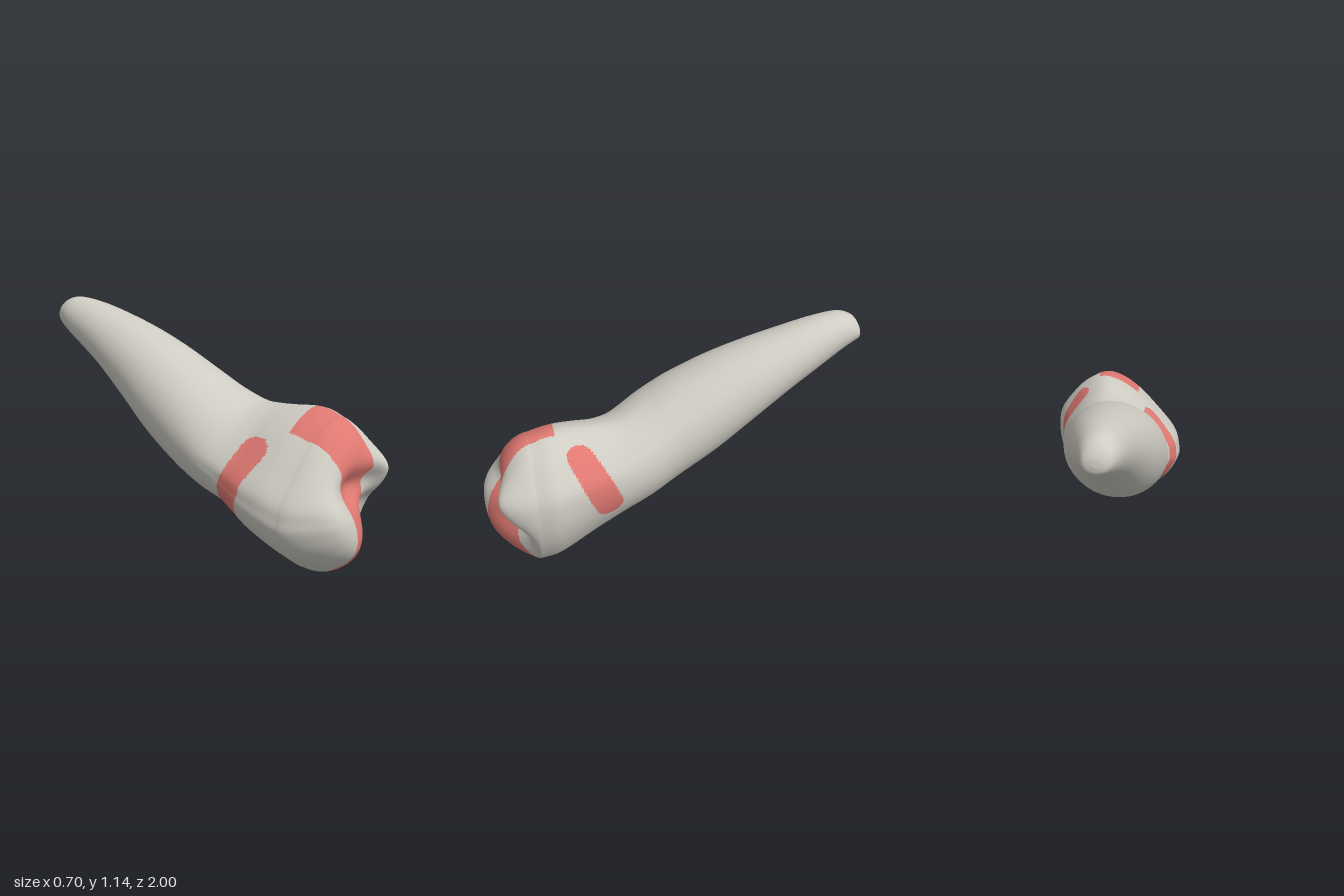
import * as THREE from 'three';

const AROUND = 260, ALONG = 150, CAP = 80, RIM = 0.75;

// Root tip to crown rim: [z, xMin, xMax, yMin, yMax]
const STATIONS = [
  [-1.0, -0.13, -0.13, 1.025, 1.025],
  [-0.99, -0.18, -0.08, 0.99, 1.07],
  [-0.955, -0.212, -0.058, 0.968, 1.115],
  [-0.88, -0.235, -0.03, 0.925, 1.14],
  [-0.75, -0.25, 0.015, 0.85, 1.13],
  [-0.6, -0.267, 0.06, 0.76, 1.1],
  [-0.4, -0.295, 0.11, 0.62, 1.05],
  [-0.2, -0.322, 0.15, 0.475, 0.985],
  [0.0, -0.335, 0.185, 0.36, 0.9],
  [0.15, -0.33, 0.225, 0.285, 0.825],
  [0.3, -0.315, 0.257, 0.22, 0.772],
  [0.4, -0.325, 0.275, 0.16, 0.768],
  [0.5, -0.343, 0.297, 0.1, 0.778],
  [0.6, -0.348, 0.33, 0.05, 0.79],
  [0.67, -0.346, 0.345, 0.022, 0.788],
  [RIM, -0.335, 0.332, 0.0, 0.768],
];

// Crown outline, scaled to -1..1, counter-clockwise from the left side
const OUTLINE = new THREE.CatmullRomCurve3([
  [1, 0.16], [0.96, 0.4], [0.81, 0.62], [0.58, 0.85], [0.29, 0.99], [0, 0.94], [-0.33, 0.74],
  [-0.7, 0.39], [-0.94, 0.12], [-1, -0.07], [-1, -0.24], [-0.85, -0.5], [-0.59, -0.72],
  [-0.32, -0.87], [-0.12, -0.96], [0.08, -1], [0.27, -0.95], [0.48, -0.84], [0.69, -0.68], [0.87, -0.4], [0.97, -0.12],
].map(([x, y]) => new THREE.Vector3(x, y, 0)), true, 'catmullrom', 0.5);

// Cusps and pits of the chewing surface: [x, y, height, spreadX, spreadY]
const BUMPS = [
  [-0.08, 0.18, 0.085, 0.13, 0.13],
  [-0.17, 0.38, 0.055, 0.09, 0.11],
  [0.29, 0.53, 0.15, 0.08, 0.1],
  [0.03, 0.46, -0.065, 0.1, 0.055],
  [0.19, 0.33, -0.075, 0.07, 0.06],
  [0.2, 0.47, -0.055, 0.05, 0.05],
  [0.25, 0.19, -0.1, 0.08, 0.1],
];
const cuspHeight = (x, y) => Math.max(0.04, BUMPS.reduce((h, [bx, by, a, sx, sy]) =>
  h + a * Math.exp(-(((x - bx) / sx) ** 2 + ((y - by) / sy) ** 2) / 2), 0.165));

// Edges of the red front band: [y, x]
const BAND_RIGHT = [[0, -0.02], [0.07, -0.05], [0.12, -0.03], [0.3, -0.04], [0.42, -0.06], [0.55, -0.06], [0.7, -0.11], [0.8, -0.115]];
const BAND_LEFT = [[0, 0.2], [0.08, 0.19], [0.18, 0.16], [0.28, 0.15], [0.295, 0.19], [0.31, 0.205], [0.33, 0.2],
  [0.4, 0.14], [0.47, 0.13], [0.53, 0.17], [0.79, 0.11]];
function edgeAt(table, y) {
  for (let i = 1; i < table.length; i++) {
    const [y0, x0] = table[i - 1], [y1, x1] = table[i];
    if (y <= y1) return x0 + (x1 - x0) * (y - y0) / (y1 - y0);
  }
  return table[table.length - 1][1];
}

// Rounded red patches on the crown sides: centre line and radius
const PATCHES = [
  { radius: 0.073, path: [[0.222, 0.725, 0.512], [0.285, 0.6, 0.455], [0.285, 0.43, 0.387]] },
  { radius: 0.077, path: [[-0.21, 0.6, 0.49], [-0.315, 0.42, 0.435], [-0.262, 0.3, 0.4]] },
].map(({ radius, path }) => {
  const points = path.map(p => new THREE.Vector3(...p));
  return { radius, lines: points.slice(1).map((p, i) => new THREE.Line3(points[i], p)) };
});
const nearest = new THREE.Vector3();
const inPatch = (point) => PATCHES.some(({ radius, lines }) => lines.some(line =>
  line.closestPointToPoint(point, true, nearest).distanceTo(point) < radius));

function isRed(x, y, z) {
  if (z < 0.25) return false;
  if (inPatch(new THREE.Vector3(x, y, z))) return true;
  if (y < 0.4 && z < RIM) return z > 0.39 && x > -0.03 && x < 0.19;
  return z > 0.625 && x > edgeAt(BAND_RIGHT, y) && x < edgeAt(BAND_LEFT, y);
}

function buildRings() {
  const xs = new THREE.CatmullRomCurve3(STATIONS.map(s => new THREE.Vector3(s[0], s[1], s[2])), false, 'catmullrom', 0.5);
  const ys = new THREE.CatmullRomCurve3(STATIONS.map(s => new THREE.Vector3(s[0], s[3], s[4])), false, 'catmullrom', 0.5);
  const unit = Array.from({ length: AROUND }, (_, j) => OUTLINE.getPoint(j / AROUND));
  const ring = (t, scale) => {
    const a = xs.getPoint(t), b = ys.getPoint(t);
    const k = THREE.MathUtils.smoothstep(a.x, 0.1, 0.47);
    return unit.map(p => {
      const q = p.clone().normalize().lerp(p, k).multiplyScalar(scale);
      return [(a.y + a.z) / 2 + q.x * (a.z - a.y) / 2, (b.y + b.z) / 2 + q.y * (b.z - b.y) / 2, a.x];
    });
  };
  const rings = [];
  // Root and crown wall
  for (let i = 0; i <= ALONG; i++) rings.push(ring(i / ALONG, 1));
  // Chewing surface closes the crown
  for (let i = 1; i <= CAP; i++) {
    const r = Math.cos(i / CAP * Math.PI / 2);
    const dome = Math.pow(Math.max(0, 1 - r ** 3.5), 0.65);
    rings.push(ring(1, r).map(([x, y, z]) => [x, y, z + dome * cuspHeight(x, y)]));
  }
  return rings;
}

export function createModel() {
  const enamel = new THREE.MeshStandardMaterial({ color: 0xcfccc3 });
  enamel.name = 'ivory grey';
  const marked = new THREE.MeshStandardMaterial({ color: 0xe07972 });
  marked.name = 'coral red';

  const rings = buildRings();
  const points = rings.flat();
  const plain = [], red = [];
  const addFace = (...f) => {
    const [x, y, z] = [0, 1, 2].map(k => (points[f[0]][k] + points[f[1]][k] + points[f[2]][k]) / 3);
    (isRed(x, y, z) ? red : plain).push(...f);
  };
  for (let i = 0; i < rings.length - 1; i++) {
    for (let j = 0; j < AROUND; j++) {
      const a = i * AROUND + j, b = i * AROUND + (j + 1) % AROUND;
      addFace(a, b, a + AROUND);
      addFace(b, b + AROUND, a + AROUND);
    }
  }

  const geometry = new THREE.BufferGeometry();
  geometry.setAttribute('position', new THREE.Float32BufferAttribute(points.flat(), 3));
  geometry.setIndex([...plain, ...red]);
  geometry.computeVertexNormals();
  geometry.addGroup(0, plain.length, 0);
  geometry.addGroup(plain.length, red.length, 1);

  const tooth = new THREE.Mesh(geometry, [enamel, marked]);
  tooth.name = 'toothCrownAndRoot';
  const group = new THREE.Group();
  group.name = 'tooth';
  group.add(tooth);
  return group;
}
